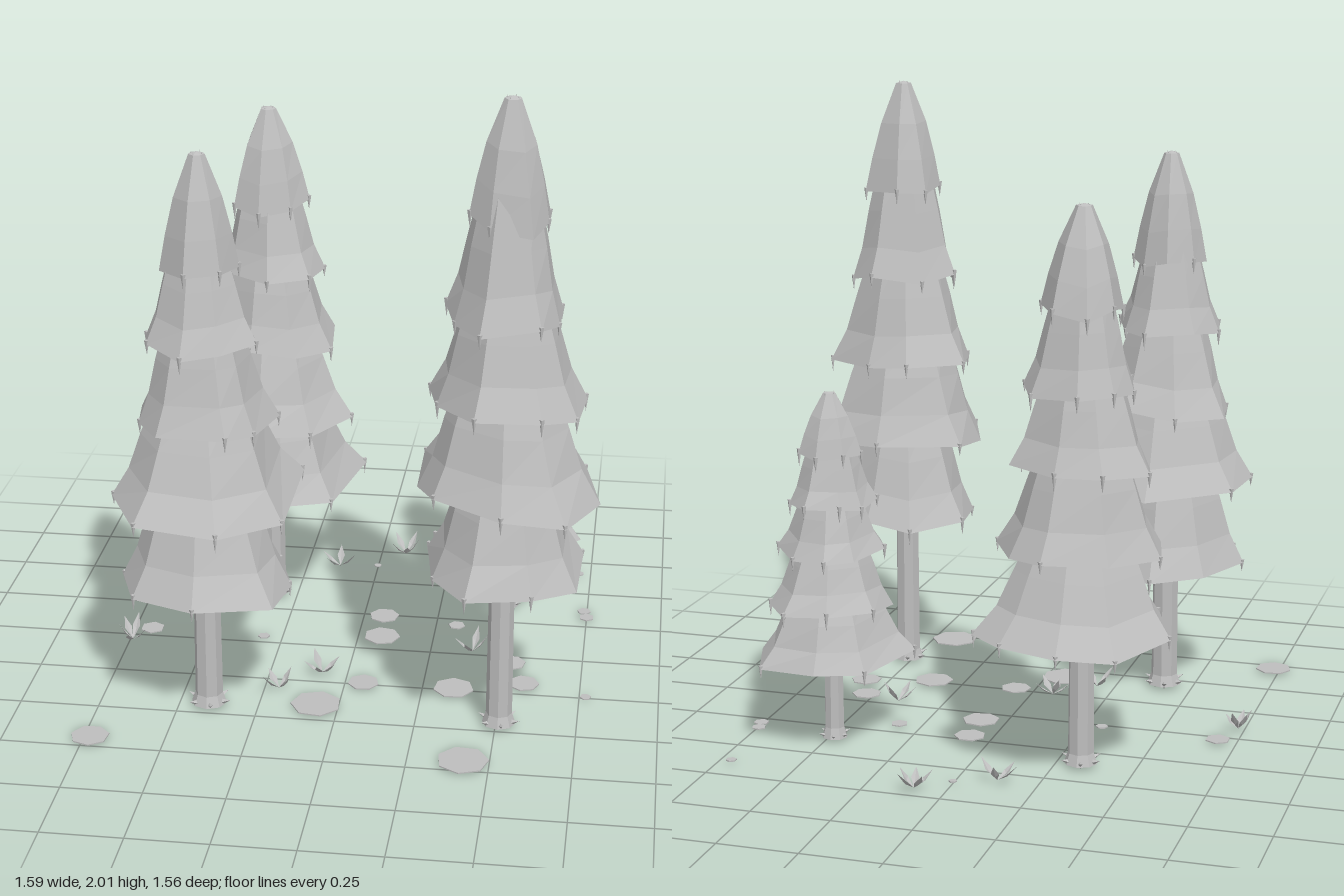
import * as THREE from 'three';

const grey = new THREE.MeshStandardMaterial({ color: 0xbebebe, flatShading: true, side: THREE.DoubleSide });
grey.name = 'plain grey';

// small seeded random
let seed = 11;
const rnd = () => {
  seed = (seed * 16807) % 2147483647;
  return seed / 2147483647;
};

function part(name, geometry, parent) {
  const mesh = new THREE.Mesh(geometry, grey);
  mesh.name = name;
  parent.add(mesh);
  return mesh;
}

// skin a stack of rings, each an array of Vector3 of equal length
function loft(rings) {
  const n = rings[0].length, pos = [], index = [];
  rings.forEach(ring => ring.forEach(p => pos.push(p.x, p.y, p.z)));
  for (let k = 0; k < rings.length - 1; k++) {
    for (let i = 0; i < n; i++) {
      const a = k * n + i, b = k * n + (i + 1) % n;
      index.push(a, a + n, b, a + n, b + n, b);
    }
  }
  const g = new THREE.BufferGeometry();
  g.setAttribute('position', new THREE.Float32BufferAttribute(pos, 3));
  g.setIndex(index);
  const flat = g.toNonIndexed();
  flat.computeVertexNormals();
  return flat;
}

// one drooping skirt of needles; profile rows are [radius factor, height factor]
const SKIRT = [[0.25, 0.35], [0.7, 0.16], [1, 0], [0.8, 0.36], [0.66, 0.8], [0.45, 1.4], [0, 1.45]];
const CROWN = [[0.25, 0.3], [0.7, 0.12], [1, 0], [0.83, 0.3], [0.6, 0.62], [0.2, 0.98], [0, 1]];

function tier(tree, y, r, h, profile, corners) {
  const rings = profile.map(([f, t]) => corners.map(c => {
    const outer = Math.min(1, f * f * 1.1);
    const rad = f * THREE.MathUtils.lerp(r, c.r, outer);
    return new THREE.Vector3(Math.cos(c.a) * rad, y + t * h + c.dy * outer, Math.sin(c.a) * rad);
  }));
  part('foliageTier', loft(rings), tree);
  // thin twigs hanging from the corners
  rings[2].forEach((p, i) => {
    if (i % 2 && rnd() < 0.4) return;
    const len = 0.04 + 0.02 * rnd();
    const twig = part('hangingTwig', new THREE.ConeGeometry(0.008, len, 4), tree);
    twig.position.set(p.x * 0.98, p.y - len * 0.25, p.z * 0.98);
    twig.rotation.set(Math.PI, p.x, 0);
  });
}

function makeTree({ name, x, z, height, trunk, tiers, outline }) {
  const tree = new THREE.Group();
  tree.name = name;
  tree.position.set(x, 0, z);

  // trunk with a slight flare and pointed roots
  const top = tiers[0][0] + 0.15;
  const profile = [[trunk * 1.3, 0.005], [trunk * 1.02, 0.04], [trunk * 0.95, top]].map(p => new THREE.Vector2(...p));
  part('trunk', new THREE.LatheGeometry(profile, 8), tree);
  for (let i = 0; i < 6; i++) {
    const a = i * Math.PI / 3 + 0.3;
    const root = part('root', new THREE.ConeGeometry(trunk * 0.35, trunk * 1.1, 4), tree);
    root.position.set(Math.cos(a) * trunk * 1.2, 0.016, Math.sin(a) * trunk * 1.2);
    root.rotation.set(0, -a, -1.25, 'YXZ');
  }

  // the widest tier follows the outline, the others are jittered polygons
  const widest = tiers.reduce((m, t, i) => (t[1] > tiers[m][1] ? i : m), 0);
  tiers.forEach(([y, r], k) => {
    const last = k === tiers.length - 1;
    const h = last ? height - y : tiers[k + 1][0] - y;
    const n = last ? 7 : 8, turn = rnd() * 2;
    let corners;
    if (k === widest) {
      corners = outline.map(([px, pz]) => ({ a: Math.atan2(pz - z, px - x), r: Math.hypot(px - x, pz - z) }));
      corners.sort((p, q) => p.a - q.a);
    } else {
      corners = Array.from({ length: n }, (_, i) => ({
        a: turn + (i + (rnd() - 0.5) * 0.35) * Math.PI * 2 / n,
        r: r * (0.88 + 0.22 * rnd()),
      }));
    }
    corners.forEach(c => { c.dy = (rnd() - 0.5) * 0.14 * h; });
    tier(tree, y, r, h, last ? CROWN : SKIRT, corners);
  });

  // little blunt shoots at the tip
  for (let i = 0; i < 4; i++) {
    const a = i * Math.PI / 2 + 0.4;
    const shoot = part('topShoot', new THREE.ConeGeometry(0.012, 0.04, 4), tree);
    shoot.position.set(Math.cos(a) * 0.018, height - 0.02, Math.sin(a) * 0.018);
  }
  return tree;
}

const TREES = [
  { name: 'frontRightTree', x: -0.405, z: 0.44, height: 1.8, trunk: 0.043,
    tiers: [[0.44, 0.28], [0.71, 0.29], [0.97, 0.22], [1.22, 0.175], [1.45, 0.12]],
    outline: [[-0.4, 0.14], [-0.13, 0.22], [-0.14, 0.58], [-0.31, 0.77], [-0.57, 0.72], [-0.68, 0.5], [-0.66, 0.27]] },
  { name: 'frontLeftTree', x: 0.51, z: 0.455, height: 2, trunk: 0.04,
    tiers: [[0.53, 0.25], [0.8, 0.29], [1.08, 0.24], [1.35, 0.19], [1.63, 0.125]],
    outline: [[0.25, 0.25], [0.53, 0.2], [0.75, 0.28], [0.8, 0.52], [0.71, 0.75], [0.52, 0.73], [0.31, 0.62], [0.25, 0.47]] },
  { name: 'backRightTree', x: -0.33, z: -0.365, height: 1.73, trunk: 0.04,
    tiers: [[0.43, 0.3], [0.68, 0.26], [0.94, 0.22], [1.18, 0.18], [1.41, 0.13]],
    outline: [[-0.03, -0.53], [-0.1, -0.18], [-0.25, -0.11], [-0.51, -0.1], [-0.62, -0.42], [-0.5, -0.62], [-0.33, -0.67], [-0.14, -0.62]] },
  { name: 'backLeftTree', x: 0.475, z: -0.365, height: 1.12, trunk: 0.031,
    tiers: [[0.28, 0.25], [0.45, 0.2], [0.62, 0.165], [0.77, 0.135], [0.92, 0.095]],
    outline: [[0.23, -0.28], [0.31, -0.53], [0.46, -0.58], [0.65, -0.55], [0.72, -0.35], [0.62, -0.18], [0.45, -0.12], [0.31, -0.2]] },
];

// flat ground patches: x, z, radius
const PATCHES = [
  [0.07, -0.23, 0.05], [0.08, -0.08, 0.06], [0.06, 0.25, 0.05], [-0.07, 0.41, 0.08], [-0.73, 0.7, 0.06],
  [0.42, 0.7, 0.08], [-0.69, -0.04, 0.04], [-0.31, -0.03, 0.02], [0.32, -0.19, 0.028], [0.52, 0.055, 0.048],
  [0.57, 0.19, 0.05], [0.35, 0.25, 0.065], [0.71, -0.645, 0.017], [0, -0.62, 0.013], [0.74, -0.35, 0.023],
  [0.75, -0.305, 0.025], [0.77, 0.255, 0.018],
];

// grass tufts: x, z, number of blades
const TUFTS = [[0.09, -0.72, 5], [-0.735, 0.06, 5], [-0.08, 0.21, 5], [0.39, 0, 4], [-0.13, -0.59, 4], [-0.2, 0.33, 4]];

// a folded, pointed leaf leaning out along +x
function bladeGeometry(len, h) {
  const root = [0, 0.008, 0], tip = [len, h, 0], fold = [len * 0.5, h * 0.4, 0];
  const l = [len * 0.55, h * 0.55, 0.013], r = [len * 0.55, h * 0.55, -0.013];
  const g = new THREE.BufferGeometry();
  g.setAttribute('position', new THREE.Float32BufferAttribute(
    [root, l, fold, l, tip, fold, root, fold, r, fold, tip, r].flat(), 3));
  g.computeVertexNormals();
  return g;
}

export function createModel() {
  seed = 11;
  const model = new THREE.Group();
  model.name = 'pineGrove';
  TREES.forEach(t => model.add(makeTree(t)));

  PATCHES.forEach(([x, z, r], i) => {
    const patch = part('groundPatch', new THREE.CylinderGeometry(r, r, 0.004, r > 0.045 ? 7 : 6), model);
    patch.position.set(x, 0.002, z);
    patch.rotation.y = i * 0.7;
  });

  TUFTS.forEach(([x, z, n]) => {
    const tuft = new THREE.Group();
    tuft.name = 'grassTuft';
    tuft.position.set(x, 0, z);
    const turn = rnd() * 6;
    for (let i = 0; i < n; i++) {
      const blade = part('grassBlade', bladeGeometry(0.045 + 0.025 * rnd(), 0.045 + 0.035 * rnd()), tuft);
      blade.rotation.y = turn + (i + 0.5 * rnd()) * Math.PI * 2 / n;
    }
    model.add(tuft);
  });
  return model;
}
